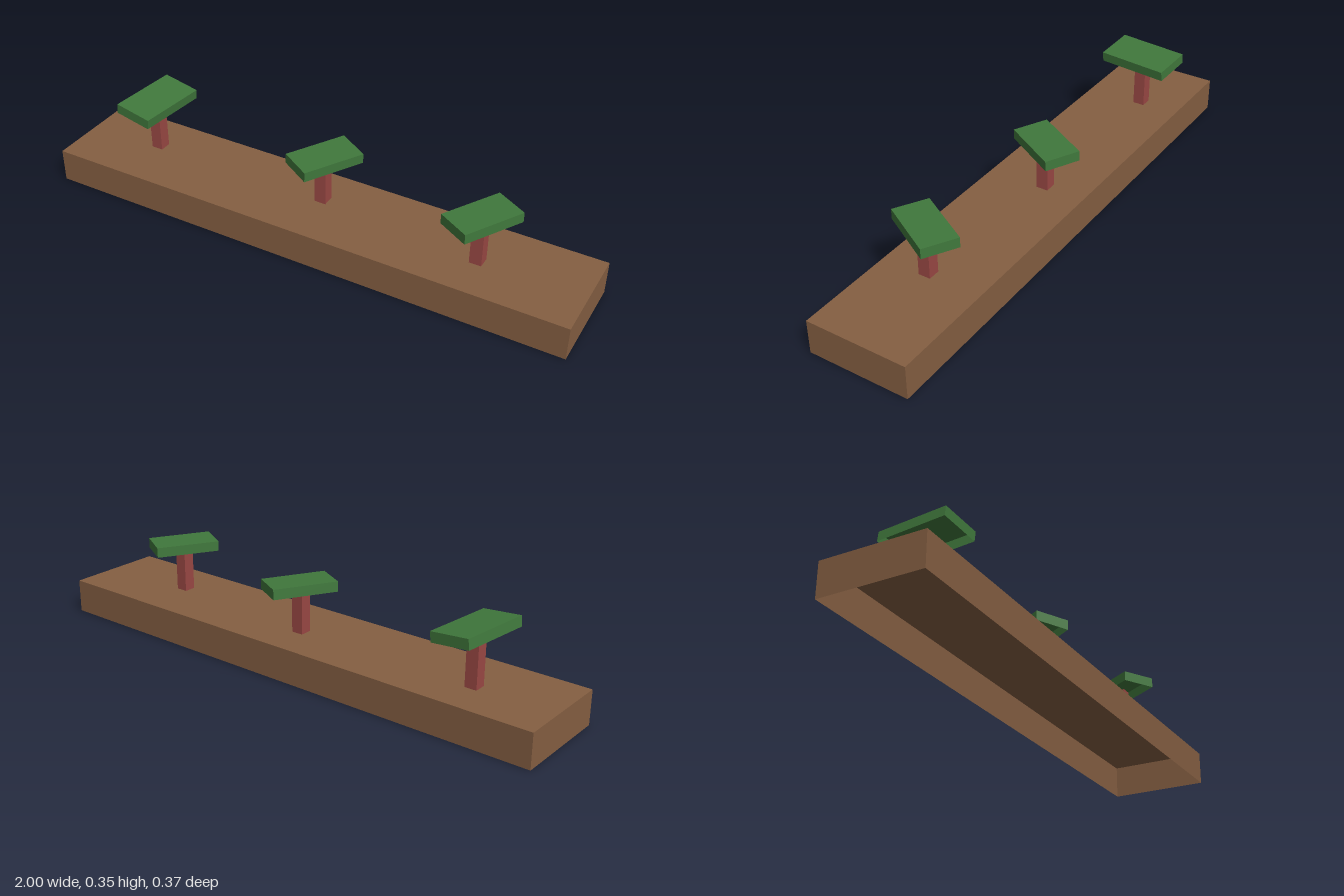
import * as THREE from 'three';

// Box without its underside, so it reads as a hollow shell from below
function openBox(w, h, d) {
  const geo = new THREE.BoxGeometry(w, h, d);
  const index = Array.from(geo.index.array);
  index.splice(18, 6);
  geo.setIndex(index);
  geo.clearGroups();
  return geo;
}

function material(name, color) {
  const m = new THREE.MeshStandardMaterial({ color, side: THREE.DoubleSide, flatShading: true });
  m.name = name;
  return m;
}

export function createModel() {
  const model = new THREE.Group();
  model.name = 'plankWithMushrooms';
  const brown = material('brown', 0x855f42);
  const red = material('red', 0x9a4844);
  const green = material('green', 0x40783c);

  const add = (parent, name, geo, mat, x, y, z) => {
    const mesh = new THREE.Mesh(geo, mat);
    mesh.name = name;
    mesh.position.set(x, y, z);
    parent.add(mesh);
    return mesh;
  };

  // Long hollow base
  const baseTop = 0.125;
  add(model, 'base', openBox(2, baseTop, 0.374), brown, 0, baseTop / 2, 0);

  // Three stems with turned, slightly tilted caps
  const plants = [
    { name: 'right', x: -0.702, z: -0.03, top: 0.308, cap: [-0.698, 0.3205, -0.029], size: [0.148, 0.268], turn: -5.8, tilt: -7 },
    { name: 'middle', x: 0.004, z: -0.03, top: 0.285, cap: [0.007, 0.2975, -0.035], size: [0.13, 0.235], turn: -30, tilt: -2.2 },
    { name: 'left', x: 0.618, z: 0.018, top: 0.29, cap: [0.62, 0.3015, 0.018], size: [0.13, 0.235], turn: -30, tilt: 0 },
  ];
  for (const p of plants) {
    const plant = new THREE.Group();
    plant.name = p.name + 'Plant';
    const h = p.top - baseTop;
    add(plant, 'stem', openBox(0.044, h, 0.044), red, p.x, baseTop + h / 2, p.z);
    const cap = add(plant, 'cap', openBox(p.size[0], 0.037, p.size[1]), green, ...p.cap);
    cap.rotation.set(0, THREE.MathUtils.degToRad(p.turn), THREE.MathUtils.degToRad(p.tilt), 'YXZ');
    model.add(plant);
  }
  return model;
}
